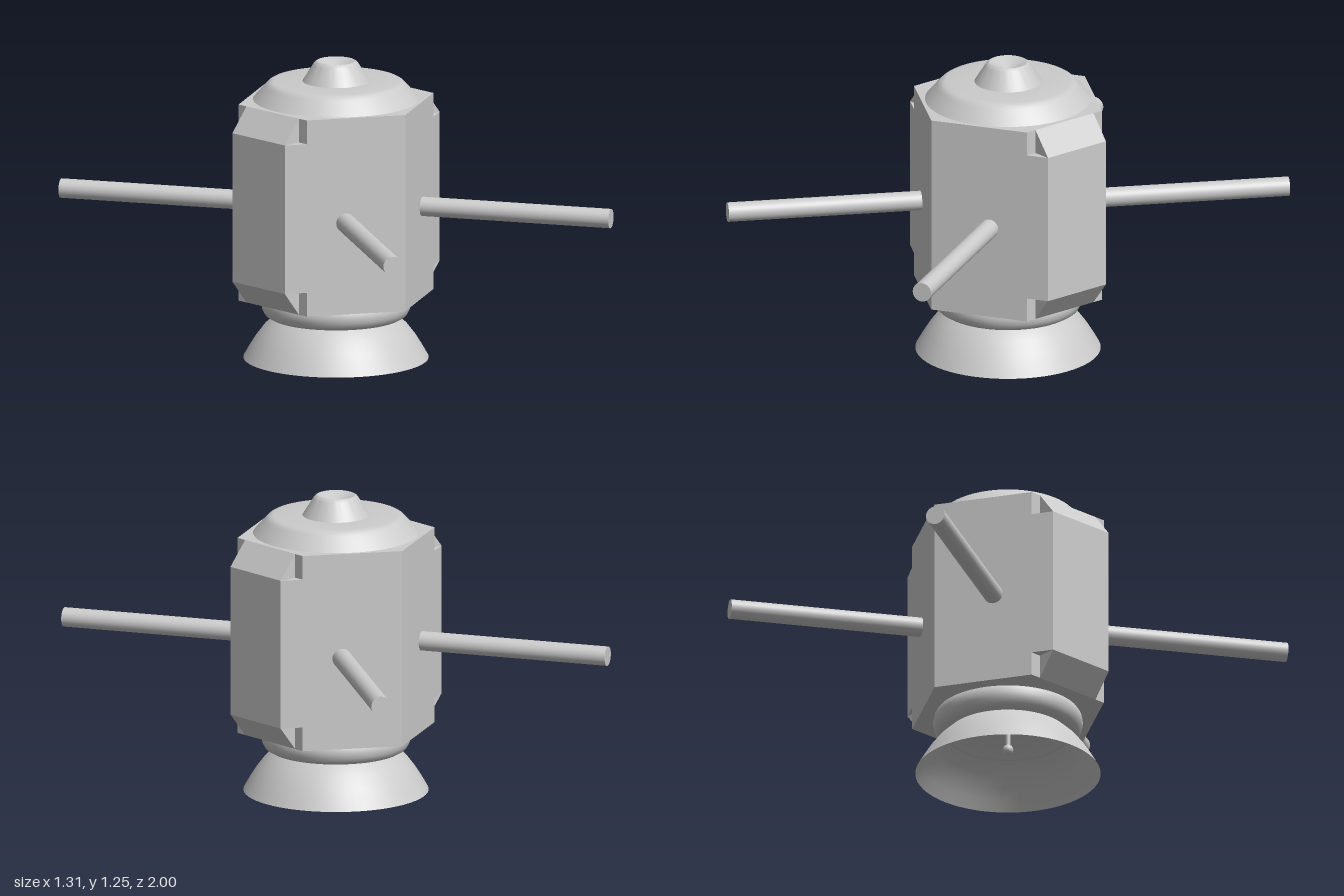
import * as THREE from 'three';
import { toCreasedNormals } from 'three/addons/utils/BufferGeometryUtils.js';

const grey = new THREE.MeshStandardMaterial({ color: 0xcccccc, side: THREE.DoubleSide });

function add(parent, name, geometry, x = 0, y = 0, z = 0) {
  const mesh = new THREE.Mesh(geometry, grey);
  mesh.name = name;
  mesh.position.set(x, y, z);
  parent.add(mesh);
  return mesh;
}

// Smooth turned part; only sharp profile corners stay creased
function turned(profile) {
  const points = profile.map(([r, y]) => new THREE.Vector2(r, y));
  return toCreasedNormals(new THREE.LatheGeometry(points, 64), 0.6);
}

// Upright prism from an x/z outline, standing on y = 0
function prism(outline, height) {
  const shape = new THREE.Shape(outline.map(([x, z]) => new THREE.Vector2(x, -z)));
  return new THREE.ExtrudeGeometry(shape, { depth: height, bevelEnabled: false }).rotateX(-Math.PI / 2);
}

export function createModel() {
  const model = new THREE.Group();
  model.name = 'satellite';

  // Six-sided body: full middle, narrower ends with sloped blocks at the sides
  const body = new THREE.Group();
  body.name = 'body';
  model.add(body);
  const W = 0.44, D = 0.41, S = 0.155, N = 0.36, C = 0.1;
  const bottom = 0.26, top = 1.085;
  const nz = D - (D - S) * N / W;
  const full = [[0, D], [W, S], [W, -S], [0, -D], [-W, -S], [-W, S]];
  const narrow = [[0, D], [N, nz], [N, -nz], [0, -D], [-N, -nz], [-N, nz]];
  add(body, 'bodyMiddle', prism(full, top - bottom - 2 * C), 0, bottom + C);
  add(body, 'bodyTop', prism(narrow, C), 0, top - C);
  add(body, 'bodyBottom', prism(narrow, C), 0, bottom);
  for (const side of [-1, 1]) {
    for (const [edge, inner] of [[top, top - C], [bottom, bottom + C]]) {
      const wedge = new THREE.Shape([
        new THREE.Vector2(side * N, inner),
        new THREE.Vector2(side * W, inner),
        new THREE.Vector2(side * N, edge),
      ]);
      add(body, 'slopedBlock', new THREE.ExtrudeGeometry(wedge, { depth: 2 * S, bevelEnabled: false }), 0, 0, -S);
    }
  }

  // Stepped cap with a small dished nozzle
  add(model, 'cap', turned([
    [0.34, 1.085], [0.29, 1.142], [0.28, 1.152], [0.27, 1.158], [0.255, 1.161], [0.137, 1.161],
  ]));
  add(model, 'nozzle', turned([
    [0.137, 1.161], [0.093, 1.232], [0.087, 1.24], [0.078, 1.245], [0.07, 1.243], [0, 1.205],
  ]));

  // Rounded neck below the body
  add(model, 'neck', turned([
    [0.24, 0.172], [0.275, 0.174], [0.292, 0.184], [0.303, 0.205],
    [0.307, 0.228], [0.302, 0.25], [0.295, 0.262],
  ]));

  // Open bell and the pin hanging inside it
  add(model, 'bell', turned([
    [0.38, 0], [0.355, 0.044], [0.33, 0.084], [0.295, 0.13], [0.25, 0.172],
    [0.19, 0.21], [0.1, 0.24], [0, 0.25],
  ]));
  add(model, 'pin', new THREE.CylinderGeometry(0.01, 0.01, 0.15, 16), 0, 0.18);
  add(model, 'pinBall', new THREE.SphereGeometry(0.022, 20, 14), 0, 0.106);

  // Four rods square to the slanted body faces
  const length = 0.9;
  for (const sx of [-1, 1]) {
    for (const sz of [-1, 1]) {
      const dir = new THREE.Vector3(sx * 0.5, 0, sz * 0.866).normalize();
      const rod = add(model, 'rod', new THREE.CylinderGeometry(0.04, 0.04, length, 32));
      rod.quaternion.setFromUnitVectors(new THREE.Vector3(0, 1, 0), dir);
      rod.position.set(sx * 0.62, 0.645, sz * 0.98).addScaledVector(dir, -length / 2);
    }
  }

  return model;
}
